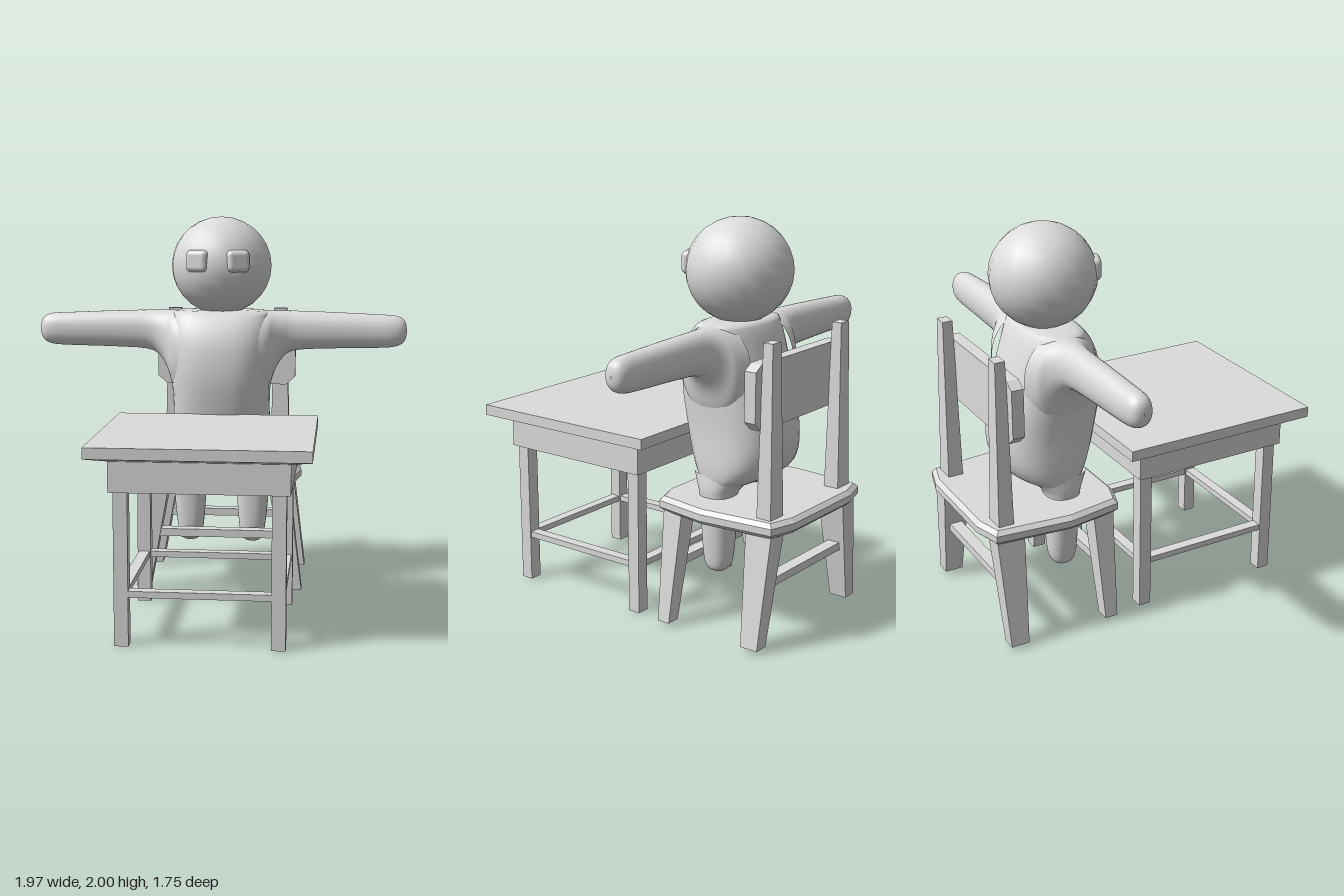
import * as THREE from 'three';
import { RoundedBoxGeometry } from 'three/addons/geometries/RoundedBoxGeometry.js';

const grey = new THREE.MeshStandardMaterial({ color: 0xdcdcdc });
grey.name = 'plain grey';

function add(parent, name, geometry) {
  const mesh = new THREE.Mesh(geometry, grey);
  mesh.name = name;
  parent.add(mesh);
  return mesh;
}

// Block from y0 to y1; each rectangle is [x0, x1, z0, z1], the top may differ from the bottom
function block(y0, bottom, y1, top = bottom) {
  const g = new THREE.BoxGeometry(1, 1, 1).toNonIndexed();
  const p = g.attributes.position;
  for (let i = 0; i < p.count; i++) {
    const r = p.getY(i) > 0 ? top : bottom;
    p.setXYZ(i, r[p.getX(i) > 0 ? 1 : 0], p.getY(i) > 0 ? y1 : y0, r[p.getZ(i) > 0 ? 3 : 2]);
  }
  g.computeVertexNormals();
  return g;
}

// The same rectangle on the other side of x = 0
const flip = (r, s) => (s > 0 ? r : [-r[1], -r[0], r[2], r[3]]);

// Smooth skin over rounded-square sections [t, aMin, aMax, bMin, bMax] in rising t;
// along y: a = x, b = z; along x: a = z, b = y
function loft(sections, axis, power, sides = 32) {
  const pos = [], index = [];
  const round = (v) => Math.sign(v) * Math.abs(v) ** (2 / power);
  const sub = 3, rows = (sections.length - 1) * sub;
  for (let k = 0; k <= rows; k++) {
    const i = Math.min(Math.floor(k / sub), sections.length - 2), f = k / sub - i;
    const at = (n) => sections[Math.max(0, Math.min(sections.length - 1, n))];
    const [t, a0, a1, b0, b1] = at(i).map((p1, c) => {
      const p2 = at(i + 1)[c], m1 = (p2 - at(i - 1)[c]) / 2, m2 = (at(i + 2)[c] - p1) / 2;
      return p1 + f * (m1 + f * (3 * (p2 - p1) - 2 * m1 - m2 + f * (2 * (p1 - p2) + m1 + m2)));
    });
    for (let j = 0; j < sides; j++) {
      const w = (j / sides) * Math.PI * 2;
      const a = (a0 + a1) / 2 + ((a1 - a0) / 2) * round(Math.cos(w));
      const b = (b0 + b1) / 2 + ((b1 - b0) / 2) * round(Math.sin(w));
      if (axis === 'y') pos.push(a, t, b);
      else pos.push(t, b, a);
      if (k < rows) {
        const p = k * sides + j, q = k * sides + ((j + 1) % sides);
        index.push(p, p + sides, q, q, p + sides, q + sides);
      }
    }
  }
  const g = new THREE.BufferGeometry();
  g.setAttribute('position', new THREE.Float32BufferAttribute(pos, 3));
  g.setIndex(index);
  g.computeVertexNormals();
  return g;
}

function buildTable() {
  const table = new THREE.Group();
  table.name = 'table';
  const top = [-0.525, 0.525, -0.17, 0.876], apron = [-0.425, 0.425, -0.065, 0.782];
  add(table, 'tableTop', block(0.917, top, 0.971));
  add(table, 'tableTopBevel', block(0.892, apron, 0.917, top));
  add(table, 'apron', block(0.744, apron, 0.895));
  for (const s of [1, -1]) {
    for (const z of [-0.05, 0.697]) add(table, 'tableLeg', block(0, flip([0.337, 0.405, z, z + 0.065], s), 0.75));
    add(table, 'sideStretcher', block(0.237, flip([0.343, 0.399, 0.01, 0.702], s), 0.268));
  }
  for (const z of [-0.045, 0.702]) add(table, 'crossStretcher', block(0.237, [-0.34, 0.34, z, z + 0.055], 0.268));
  return table;
}

function buildChair() {
  const chair = new THREE.Group();
  chair.name = 'chair';

  // Seat with bowed edges and a bevel above and below
  const half = [[0.25, 0.145], [0.365, 0.185], [0.41, 0.45], [0.375, 0.82], [0.25, 0.855]];
  const outline = [...half, ...half.map(([x, z]) => [-x, z]).reverse()];
  const seat = new THREE.ExtrudeGeometry(new THREE.Shape(outline.map(([x, z]) => new THREE.Vector2(x, z))), {
    depth: 0.034, bevelEnabled: true, bevelThickness: 0.021, bevelSize: 0.022, bevelSegments: 1,
  });
  seat.rotateX(-Math.PI / 2).translate(0, 0.593, 0);
  add(chair, 'seat', seat);

  for (const s of [1, -1]) {
    add(chair, 'frontChairLeg', block(0.018, flip([0.37, 0.445, -0.272, -0.205], s), 0.585, flip([0.265, 0.375, -0.3, -0.19], s)));
    add(chair, 'backChairLeg', block(0.018, flip([0.37, 0.445, -0.8, -0.705], s), 0.585, flip([0.265, 0.375, -0.825, -0.68], s)));
    add(chair, 'backPost', block(0.64, flip([0.247, 0.353, -0.805, -0.725], s), 1.487, flip([0.262, 0.333, -0.787, -0.735], s)));
  }
  for (const z of [-0.275, -0.785]) add(chair, 'chairStretcher', block(0.296, [-0.36, 0.36, z, z + 0.065], 0.337));

  // Backrest board with cut corners
  const board = [[0.335, 1.067], [0.385, 1.112], [0.385, 1.355], [0.335, 1.387]];
  const ring = [...board, ...board.map(([x, y]) => [-x, y]).reverse()];
  const rest = new THREE.ExtrudeGeometry(new THREE.Shape(ring.map(([x, y]) => new THREE.Vector2(x, y))), {
    depth: 0.062, bevelEnabled: false,
  });
  add(chair, 'backrest', rest.translate(0, 0, -0.732));
  return chair;
}

function buildFigure() {
  const figure = new THREE.Group();
  figure.name = 'figure';

  add(figure, 'torso', loft([
    [0.69, -0.12, 0.12, -0.44, -0.32],
    [0.7, -0.24, 0.24, -0.5, -0.27],
    [0.76, -0.262, 0.262, -0.6, -0.22],
    [0.85, -0.263, 0.263, -0.65, -0.18],
    [0.98, -0.258, 0.258, -0.657, -0.145],
    [1.15, -0.265, 0.265, -0.628, -0.118],
    [1.3, -0.268, 0.268, -0.58, -0.125],
    [1.4, -0.268, 0.268, -0.545, -0.155],
    [1.47, -0.26, 0.26, -0.515, -0.2],
    [1.505, -0.23, 0.23, -0.48, -0.25],
    [1.507, -0.01, 0.01, -0.37, -0.35],
  ], 'y', 2.6));

  // Arms flare where they meet the torso
  const arm = [
    [0.18, -0.57, -0.165, 1.03, 1.503],
    [0.25, -0.54, -0.205, 1.08, 1.503],
    [0.285, -0.505, -0.25, 1.18, 1.503],
    [0.33, -0.477, -0.282, 1.255, 1.502],
    [0.4, -0.463, -0.302, 1.292, 1.502],
    [0.6, -0.457, -0.308, 1.303, 1.496],
    [0.83, -0.45, -0.312, 1.308, 1.486],
    [0.92, -0.445, -0.317, 1.315, 1.481],
    [0.962, -0.432, -0.33, 1.333, 1.465],
    [0.98, -0.41, -0.352, 1.362, 1.438],
    [0.985, -0.383, -0.379, 1.396, 1.404],
  ];
  // Legs widen into the hips
  const leg = [
    [0.242, 0.165, 0.175, -0.38, -0.37],
    [0.25, 0.135, 0.205, -0.41, -0.34],
    [0.27, 0.113, 0.225, -0.433, -0.318],
    [0.32, 0.1, 0.237, -0.448, -0.304],
    [0.45, 0.088, 0.252, -0.457, -0.297],
    [0.6, 0.08, 0.262, -0.46, -0.292],
    [0.66, 0.07, 0.266, -0.465, -0.285],
    [0.7, 0.03, 0.266, -0.49, -0.265],
    [0.76, 0, 0.258, -0.54, -0.23],
  ];
  for (const s of [1, -1]) {
    const armSide = s > 0 ? arm : arm.map(([t, ...r]) => [-t, ...r]).reverse();
    add(figure, s > 0 ? 'leftArm' : 'rightArm', loft(armSide, 'x', 2.2));
    add(figure, s > 0 ? 'leftLeg' : 'rightLeg', loft(leg.map(([t, ...r]) => [t, ...flip(r, s)]), 'y', 2.4));

    const eye = add(figure, s > 0 ? 'leftEye' : 'rightEye', new RoundedBoxGeometry(0.122, 0.115, 0.06, 4, 0.028));
    eye.position.set(s * 0.104, 1.773, -0.14);
    eye.rotation.y = s * 0.38;
  }

  const head = add(figure, 'head', new THREE.SphereGeometry(0.266, 18, 14));
  head.scale.y = 0.97;
  head.position.set(0, 1.741, -0.365);
  return figure;
}

export function createModel() {
  const model = new THREE.Group();
  model.name = 'figureAtTable';
  model.add(buildTable(), buildChair(), buildFigure());
  return model;
}
